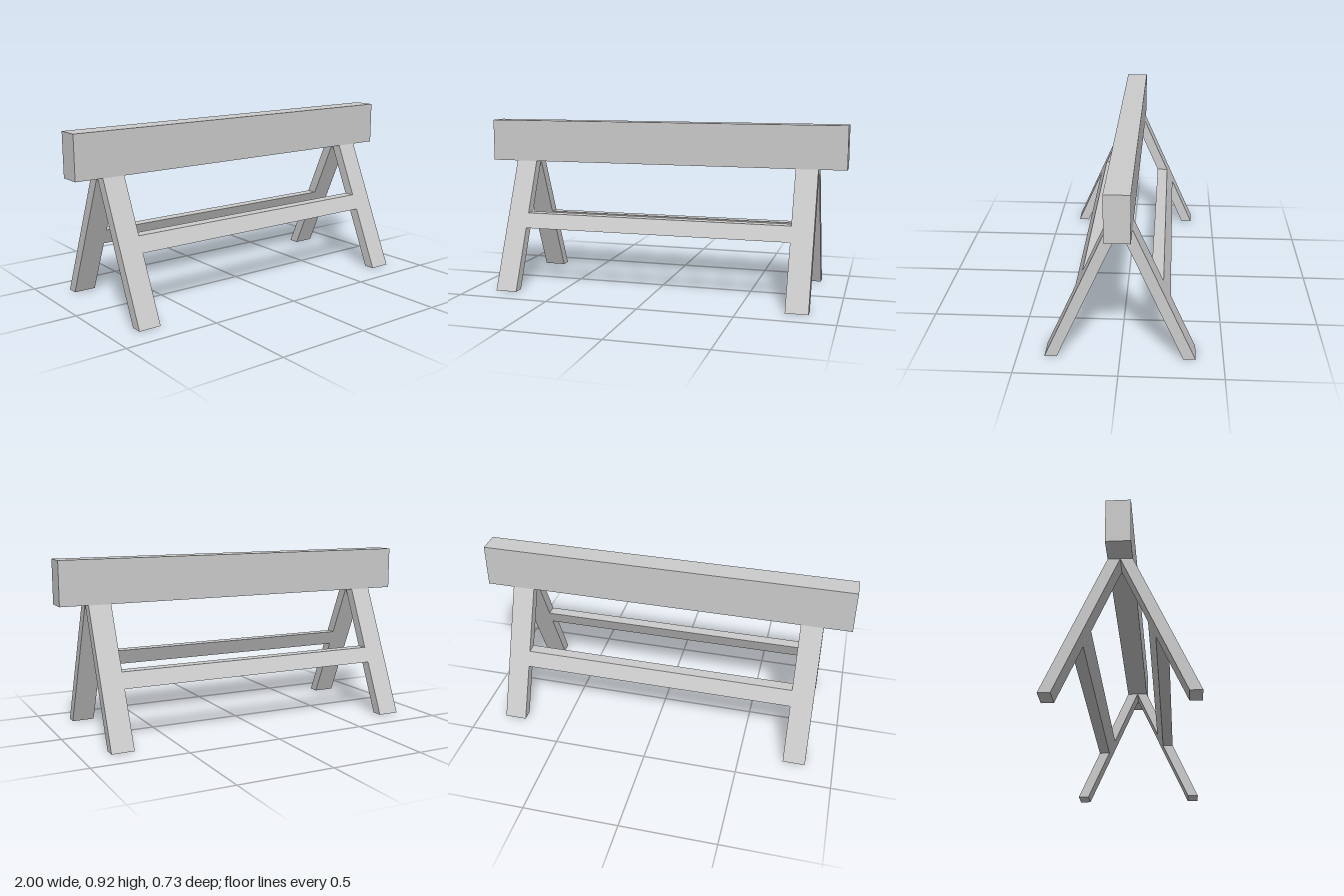
import * as THREE from 'three';

const BEAM_BOTTOM = 0.69, BEAM_TOP = 0.92;
const THICK = 0.06;   // depth of legs and rails along z
const SLOPE = 0.446;  // outward spread per unit of drop
const LEG_IN = 0.735, LEG_OUT = 0.853;

export function createModel() {
  const model = new THREE.Group();
  model.name = 'sawhorse';
  const material = new THREE.MeshStandardMaterial({ color: 0xcccccc, flatShading: true });

  const add = (name, geometry) => {
    const mesh = new THREE.Mesh(geometry, material);
    mesh.name = name;
    model.add(mesh);
  };

  // Box from x0..x1 and y0..y1, sheared to lie in the sloping plane of one side (+1 front, -1 back)
  const slopedBar = (x0, x1, y0, y1, side) => {
    const geometry = new THREE.BoxGeometry(x1 - x0, y1 - y0, THICK);
    geometry.translate((x0 + x1) / 2, (y0 + y1) / 2, side * THICK / 2);
    const p = geometry.attributes.position;
    for (let i = 0; i < p.count; i++) {
      p.setZ(i, p.getZ(i) + side * SLOPE * (BEAM_BOTTOM - p.getY(i)));
    }
    geometry.computeVertexNormals();
    return geometry;
  };

  // Top beam
  const beam = new THREE.BoxGeometry(2, BEAM_TOP - BEAM_BOTTOM, 0.12);
  beam.translate(0, (BEAM_TOP + BEAM_BOTTOM) / 2, 0);
  add('topBeam', beam);

  // Two legs and a flush rail per side; the back rail sits lower
  const sides = [
    { name: 'front', side: 1, foot: 0, rail: [0.33, 0.41] },
    { name: 'back', side: -1, foot: 0.004, rail: [0.287, 0.367] },
  ];
  for (const { name, side, foot, rail } of sides) {
    add(name + 'LeftLeg', slopedBar(LEG_IN, LEG_OUT, foot, BEAM_BOTTOM, side));
    add(name + 'RightLeg', slopedBar(-LEG_OUT, -LEG_IN, foot, BEAM_BOTTOM, side));
    add(name + 'Rail', slopedBar(-LEG_IN, LEG_IN, rail[0], rail[1], side));
  }

  return model;
}
